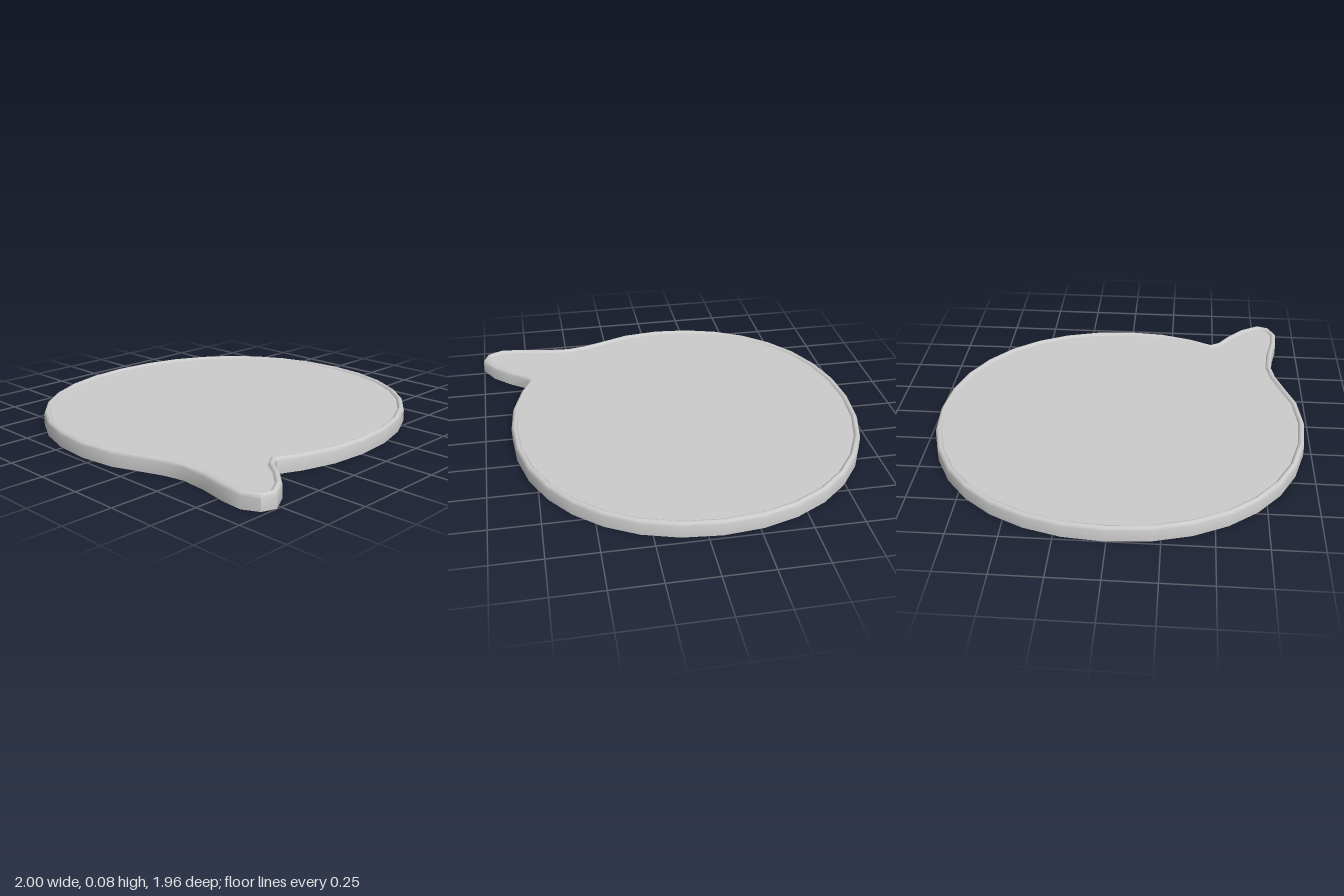
import * as THREE from 'three';
import { toCreasedNormals } from 'three/addons/utils/BufferGeometryUtils.js';

const V = (x, z) => new THREE.Vector2(x, z);

// Speech-bubble outline in (x, z), clockwise seen from above
function bubbleOutline() {
  const cx = -0.07, rx = 0.93, rz = 0.98, k = 0.59;
  const quarter = (a, b, c, d) => new THREE.CubicBezierCurve(a, b, c, d).getPoints(8).slice(0, 8);
  const top = V(cx, -rz), right = V(cx + rx, 0), bottom = V(cx, rz - 0.005), left = V(cx - rx, 0);
  return [
    ...quarter(top, V(cx + k * rx, -rz), V(cx + rx, -k * rz), right),
    right,
    // pointed tail at the front left corner
    ...[[0.845, 0.19], [0.795, 0.365], [0.74, 0.485], [0.768, 0.53], [0.852, 0.59], [0.942, 0.675],
      [1, 0.775], [0.975, 0.845], [0.895, 0.885], [0.78, 0.877], [0.64, 0.848], [0.495, 0.835],
      [0.39, 0.855], [0.27, 0.898], [0.125, 0.952]].map(([x, z]) => V(x, z)),
    ...quarter(bottom, V(cx - k * rx, bottom.y), V(cx - rx, k * rz), left),
    ...quarter(left, V(cx - rx, -k * rz), V(cx - k * rx, -rz), top),
  ];
}

// Move every corner inwards by a constant distance (mitred)
function inset(points, dist) {
  const n = points.length;
  return points.map((p, i) => {
    const d0 = p.clone().sub(points[(i + n - 1) % n]).normalize();
    const d1 = points[(i + 1) % n].clone().sub(p).normalize();
    const n0 = V(-d0.y, d0.x), n1 = V(-d1.y, d1.x);
    return n0.clone().add(n1).multiplyScalar(dist / (1 + n0.dot(n1))).add(p);
  });
}

// Sweep an [inset, height] profile around the outline
function sweepRim(outline, profile) {
  const n = outline.length, pos = [], index = [];
  profile.forEach(([d, y]) => inset(outline, d).forEach((p) => pos.push(p.x, y, p.y)));
  for (let r = 0; r < profile.length - 1; r++) {
    for (let i = 0; i < n; i++) {
      const a = r * n + i, b = r * n + (i + 1) % n;
      index.push(a, a + n, b, b, a + n, b + n);
    }
  }
  const geo = new THREE.BufferGeometry();
  geo.setAttribute('position', new THREE.Float32BufferAttribute(pos, 3));
  geo.setIndex(index);
  return toCreasedNormals(geo, 0.75);
}

// Flat sheet facing up (side = 1) or down (side = -1)
function sheet(outline, y, side) {
  const shape = new THREE.Shape(outline.map((p) => V(p.x, -side * p.y)));
  return new THREE.ShapeGeometry(shape).rotateX(-side * Math.PI / 2).translate(0, y, 0);
}

export function createModel() {
  const group = new THREE.Group();
  group.name = 'speechBubble';
  const material = new THREE.MeshStandardMaterial({ color: 0xcccccc });
  const add = (name, geometry) => {
    const mesh = new THREE.Mesh(geometry, material);
    mesh.name = name;
    group.add(mesh);
  };

  const outline = bubbleOutline();
  // outer wall, rounded lip and short slope down to the recessed face
  const profile = [[0, 0], [0, 0.062], [0.005, 0.074], [0.014, 0.08], [0.021, 0.08], [0.027, 0.076], [0.033, 0.068]];
  const [faceInset, faceY] = profile[profile.length - 1];

  add('rim', sweepRim(outline, profile));
  add('face', sheet(inset(outline, faceInset), faceY, 1));
  add('base', sheet(outline, 0, -1));
  return group;
}
